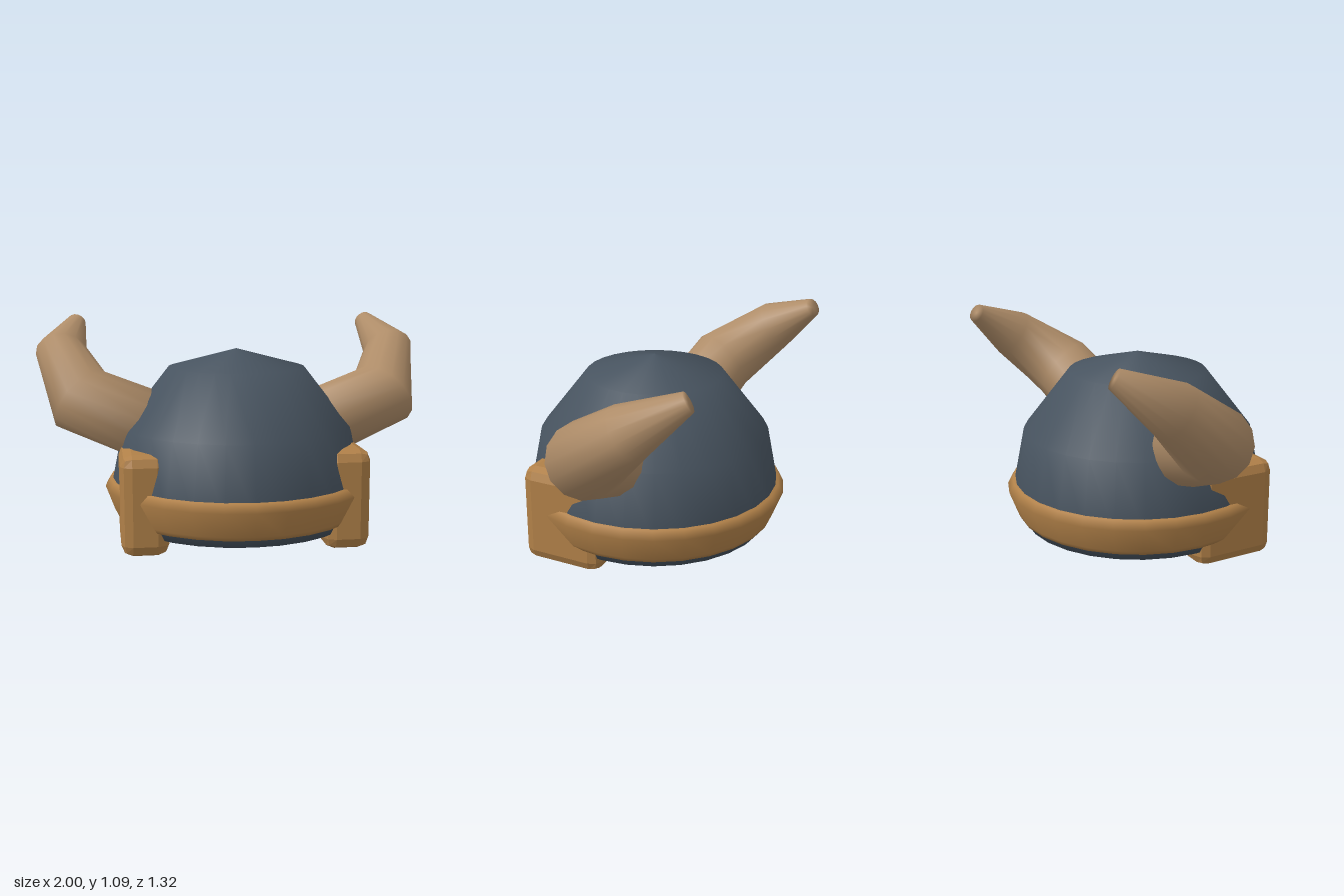
import * as THREE from 'three';
import { RoundedBoxGeometry } from 'three/addons/geometries/RoundedBoxGeometry.js';

const steel = new THREE.MeshStandardMaterial({ color: 0x47535f });
steel.name = 'steel';
const bronze = new THREE.MeshStandardMaterial({ color: 0xb08048 });
bronze.name = 'bronze';
const horn = new THREE.MeshStandardMaterial({ color: 0xae8c68 });
horn.name = 'horn';

function part(name, geometry, material) {
  const mesh = new THREE.Mesh(geometry, material);
  mesh.name = name;
  return mesh;
}

function lathe(points, segments = 28) {
  return new THREE.LatheGeometry(points.map(([r, y]) => new THREE.Vector2(r, y)), segments);
}

// Smooth tube through rings of [x, y, z, radius], capped at both ends
function taperedTube(rings, sides = 14) {
  const centres = rings.map(([x, y, z]) => new THREE.Vector3(x, y, z));
  const step = (i) => centres[i + 1].clone().sub(centres[i]).normalize();
  const last = rings.length - 1;
  const positions = [];
  const index = [];
  const u = new THREE.Vector3(0, 1, 0);

  centres.forEach((c, i) => {
    const dir = step(Math.min(i, last - 1));
    if (i > 0 && i < last) dir.add(step(i - 1)).normalize();
    u.addScaledVector(dir, -u.dot(dir)).normalize();
    const v = dir.clone().cross(u);
    for (let j = 0; j < sides; j++) {
      const t = (j / sides) * Math.PI * 2;
      const p = c.clone()
        .addScaledVector(u, Math.cos(t) * rings[i][3])
        .addScaledVector(v, Math.sin(t) * rings[i][3]);
      positions.push(p.x, p.y, p.z);
    }
  });
  positions.push(...centres[0].toArray(), ...centres[last].toArray());

  const startCap = rings.length * sides;
  for (let j = 0; j < sides; j++) {
    const k = (j + 1) % sides;
    for (let i = 0; i < last; i++) {
      const a = i * sides + j, b = i * sides + k;
      index.push(a, b, b + sides, a, b + sides, a + sides);
    }
    index.push(k, j, startCap);
    index.push(last * sides + j, last * sides + k, startCap + 1);
  }
  const geometry = new THREE.BufferGeometry();
  geometry.setAttribute('position', new THREE.Float32BufferAttribute(positions, 3));
  geometry.setIndex(index);
  geometry.computeVertexNormals();
  return geometry;
}

export function createModel() {
  const model = new THREE.Group();
  model.name = 'hornedHelmet';

  // Closed dome with a flat underside
  model.add(part('dome', lathe([
    [0, 0.08], [0.573, 0.08], [0.636, 0.23], [0.57, 0.555], [0.34, 0.85], [0, 0.94],
  ]), steel));

  // Bulging band around the brim
  model.add(part('rimBand', lathe([
    [0.55, 0.12], [0.605, 0.12], [0.615, 0.14], [0.66, 0.26], [0.635, 0.3], [0.58, 0.305],
  ]), bronze));

  for (const [side, label] of [[1, 'left'], [-1, 'right']]) {
    // Chamfered cheek block, flat shaded
    const block = new RoundedBoxGeometry(0.225, 0.485, 0.41, 1, 0.055);
    block.computeVertexNormals();
    const guard = part(label + 'CheekGuard', block, bronze);
    guard.position.set(side * 0.483, 0.2425, 0.215);
    model.add(guard);

    // Horn runs outwards, then bends up and back to a blunt tip
    model.add(part(label + 'Horn', taperedTube([
      [side * 0.42, 0.55, -0.01, 0.18],
      [side * 0.77, 0.69, -0.05, 0.18],
      [side * 0.87, 0.9, -0.31, 0.13],
      [side * 0.79, 1.045, -0.54, 0.048],
    ]), horn));
  }
  return model;
}
